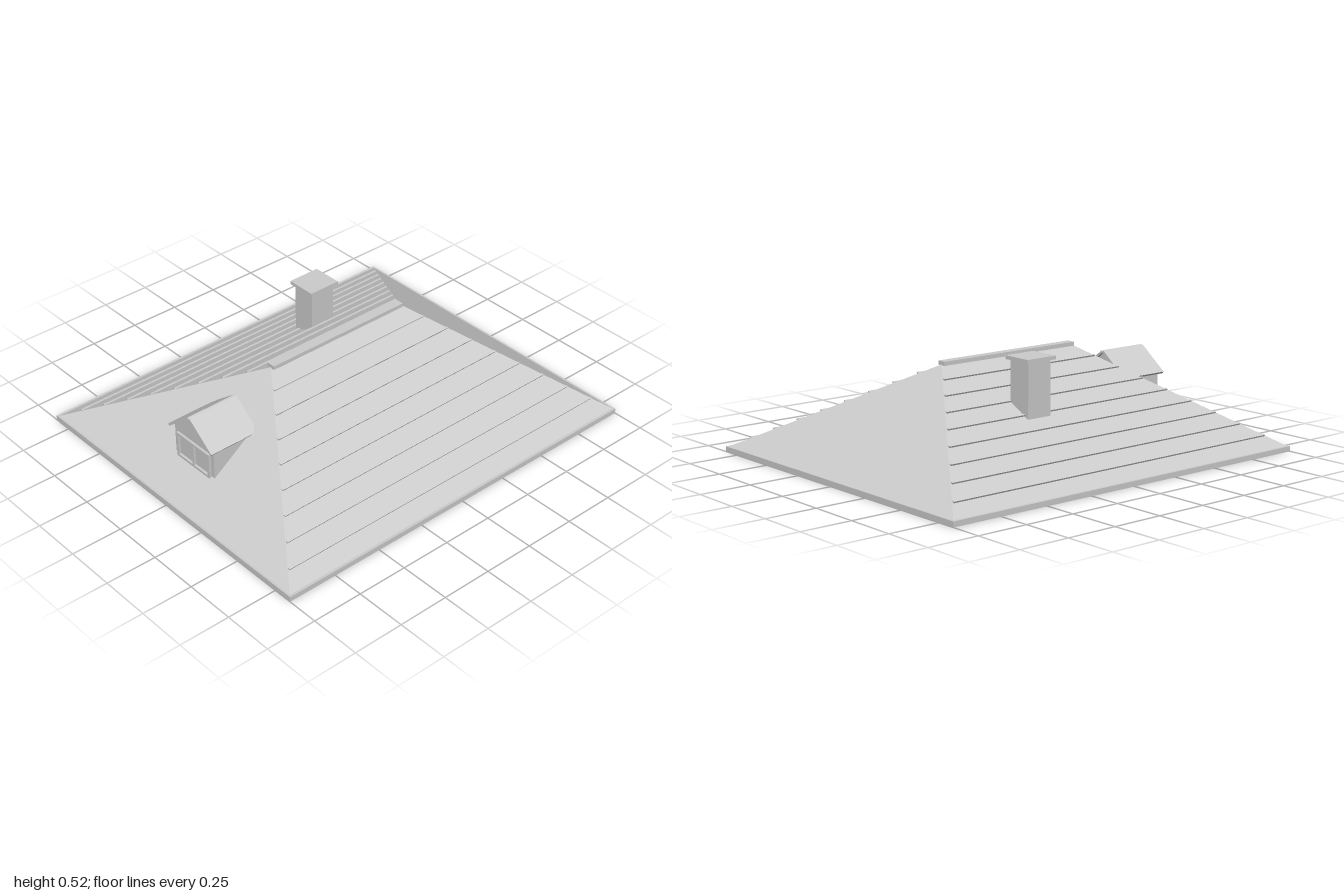
import * as THREE from 'three';

export function createModel() {
  const group = new THREE.Group();
  const grey = new THREE.MeshStandardMaterial({ color: 0xcccccc });
  grey.name = 'plainGrey';

  const W = 0.838, D = 0.995, EAVE = 0.022, RIDGE = 0.46, RZ = 0.39;

  function add(name, geometry, x = 0, y = 0, z = 0, tilt = 0) {
    const mesh = new THREE.Mesh(geometry, grey);
    mesh.name = name;
    mesh.position.set(x, y, z);
    mesh.rotation.z = tilt;
    group.add(mesh);
    return mesh;
  }
  // box given by its extents on each axis
  const block = (name, x0, x1, y0, y1, z0, z1) =>
    add(name, new THREE.BoxGeometry(x1 - x0, y1 - y0, z1 - z0),
      (x0 + x1) / 2, (y0 + y1) / 2, (z0 + z1) / 2);

  // hipped roof: four slopes and a flat soffit
  const a = [-W, EAVE, D], b = [W, EAVE, D], c = [W, EAVE, -D], d = [-W, EAVE, -D];
  const f = [0, RIDGE, RZ], r = [0, RIDGE, -RZ];
  const low = ([x, , z]) => [x, 0.008, z];
  const quad = (p, q, s, t) => [p, q, s, p, s, t];
  const faces = [
    [a, b, f], [c, d, r], quad(b, c, r, f), quad(d, a, f, r),
    quad(low(a), low(d), low(c), low(b)),
  ];
  const roof = new THREE.BufferGeometry();
  roof.setAttribute('position', new THREE.Float32BufferAttribute(faces.flat(2), 3));
  roof.computeVertexNormals();
  add('hippedRoof', roof);

  // fascia boards around the eaves
  for (const s of [-1, 1]) {
    add('sideFascia', new THREE.BoxGeometry(0.015, 0.025, 2), s * 0.8375, 0.0125, 0);
    add('endFascia', new THREE.BoxGeometry(1.66, 0.025, 0.012), 0, 0.0125, s * 0.994);
  }

  // seams running along both side slopes, ending at the hips
  const pitch = Math.atan2(RIDGE - EAVE, W);
  for (const s of [-1, 1]) {
    for (let i = 1; i <= 8; i++) {
      const x = i * 0.0935;
      const y = RIDGE - (RIDGE - EAVE) * x / W;
      const z = RZ + (D - RZ) * x / W;
      add('roofSeam', new THREE.BoxGeometry(0.009, 0.014, 2 * z - 0.01), s * x, y + 0.001, 0, -s * pitch);
    }
  }
  block('ridgeCap', -0.022, 0.022, 0.456, 0.475, -RZ, RZ);

  // chimney
  block('chimneyStack', -0.4, -0.28, 0.2, 0.505, -0.223, -0.093);
  block('chimneyCap', -0.415, -0.265, 0.505, 0.522, -0.24, -0.076);

  // dormer walls with gable
  const gable = new THREE.Shape();
  gable.moveTo(-0.137, 0.1);
  gable.lineTo(0.137, 0.1);
  gable.lineTo(0.137, 0.288);
  gable.lineTo(0, 0.392);
  gable.lineTo(-0.137, 0.288);
  gable.closePath();
  add('dormerWalls', new THREE.ExtrudeGeometry(gable, { depth: 0.23, bevelEnabled: false }), 0, 0, 0.6);

  // dormer roof panels
  const dormerPitch = Math.atan2(0.115, 0.15);
  for (const s of [-1, 1]) {
    add('dormerRoof', new THREE.BoxGeometry(0.186, 0.011, 0.262), s * 0.077, 0.344, 0.724, -s * dormerPitch);
  }

  // dormer window frame
  block('windowHead', -0.115, 0.115, 0.248, 0.26, 0.829, 0.842);
  block('windowSill', -0.115, 0.115, 0.128, 0.145, 0.829, 0.842);
  for (const x of [-0.109, 0, 0.109]) block('windowPost', x - 0.006, x + 0.006, 0.13, 0.25, 0.829, 0.842);

  return group;
}
